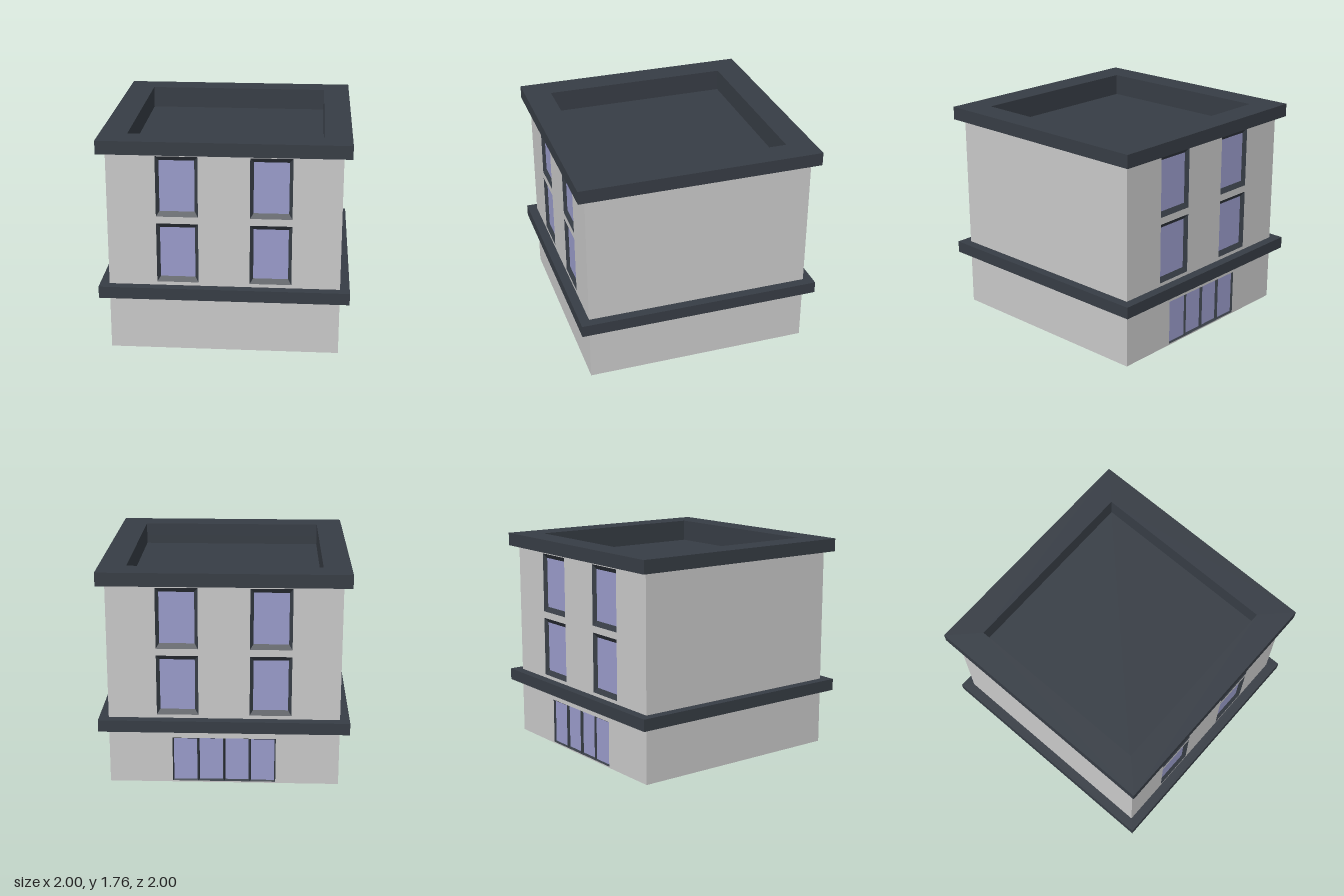
import * as THREE from 'three';

const wallMat = new THREE.MeshStandardMaterial({ color: 0xcacaca, side: THREE.DoubleSide });
wallMat.name = 'wall grey';
const trimMat = new THREE.MeshStandardMaterial({ color: 0x373d45, side: THREE.DoubleSide });
trimMat.name = 'dark slate';
const glassMat = new THREE.MeshStandardMaterial({ color: 0x9a9ccb, side: THREE.DoubleSide });
glassMat.name = 'lilac glass';

const HALF = 0.923;      // half width of the body
const WALL_TOP = 1.67;

function add(parent, name, geometry, material, x = 0, y = 0, z = 0) {
  const mesh = new THREE.Mesh(geometry, material);
  mesh.name = name;
  mesh.position.set(x, y, z);
  parent.add(mesh);
  return mesh;
}

// Closed rectangle from its edges
function rect(Type, x0, y0, x1, y1) {
  return new Type([[x0, y0], [x1, y0], [x1, y1], [x0, y1]].map(([x, y]) => new THREE.Vector2(x, y)));
}

// Flat square ring lying level between two heights
function squareRing(outer, inner, y0, y1) {
  const shape = rect(THREE.Shape, -outer, -outer, outer, outer);
  shape.holes.push(rect(THREE.Path, -inner, -inner, inner, inner));
  return new THREE.ExtrudeGeometry(shape, { depth: y1 - y0, bevelEnabled: false })
    .rotateX(-Math.PI / 2).translate(0, y0, 0);
}

// Four sloping faces running from an outer rectangle back to an inner one
function slopedFrame(o, i, depth) {
  const corners = ([x0, y0, x1, y1], z) => [[x0, y0, z], [x1, y0, z], [x1, y1, z], [x0, y1, z]];
  const a = corners(o, 0), b = corners(i, -depth), pos = [];
  for (let k = 0; k < 4; k++) {
    const n = (k + 1) % 4;
    pos.push(...a[k], ...a[n], ...b[n], ...a[k], ...b[n], ...b[k]);
  }
  const g = new THREE.BufferGeometry();
  g.setAttribute('position', new THREE.Float32BufferAttribute(pos, 3));
  g.computeVertexNormals();
  return g;
}

// Glass pane set back inside a sloping frame
function addWindow(parent, name, outer, inner, depth) {
  const group = new THREE.Group();
  group.name = name;
  add(group, 'frame', slopedFrame(outer, inner, depth), trimMat);
  add(group, 'glass', new THREE.ShapeGeometry(rect(THREE.Shape, ...inner)), glassMat, 0, 0, -depth);
  parent.add(group);
}

// Wall with two rows of windows, and optionally a row of glass doors
function facade(name, hasDoors) {
  const group = new THREE.Group();
  group.name = name;
  const wall = rect(THREE.Shape, -HALF, 0, HALF, WALL_TOP);
  const cut = (r) => wall.holes.push(rect(THREE.Path, ...r));

  for (const [y0, y1, g0, g1] of [[0.585, 1.08, 0.625, 1.043], [1.137, 1.632, 1.177, 1.595]]) {
    for (const cx of [-0.37, 0.37]) {
      const outer = [cx - 0.166, y0, cx + 0.166, y1];
      cut(outer);
      addWindow(group, 'window', outer, [cx - 0.139, g0, cx + 0.139, g1], 0.025);
    }
  }

  if (hasDoors) {
    cut([-0.415, 0.01, 0.415, 0.385]);
    const w = 0.83 / 4;
    for (let k = 0; k < 4; k++) {
      const x = -0.415 + k * w;
      addWindow(group, 'doorPanel', [x, 0.01, x + w, 0.385],
        [x + 0.01, 0.02, x + w - 0.01, 0.375], k % 3 === 0 ? 0.015 : 0.022);
    }
  }
  add(group, 'wall', new THREE.ShapeGeometry(wall), wallMat);
  group.position.z = HALF;
  const pivot = new THREE.Group();
  pivot.name = name + 'Side';
  pivot.add(group);
  return pivot;
}

export function createModel() {
  const model = new THREE.Group();
  model.name = 'building';

  // Front and back with openings
  model.add(facade('front', false));
  const back = facade('back', true);
  back.rotation.y = Math.PI;
  model.add(back);

  // Plain side walls
  for (const s of [-1, 1]) {
    const side = add(model, s > 0 ? 'leftWall' : 'rightWall',
      new THREE.PlaneGeometry(HALF * 2, WALL_TOP), wallMat, s * HALF, WALL_TOP / 2, 0);
    side.rotation.y = s * Math.PI / 2;
  }

  // Ledge between the floors
  add(model, 'ledge', squareRing(1, HALF - 0.004, 0.46, 0.557), trimMat);

  // Roof rim with a sunken deck
  add(model, 'roofRim', squareRing(0.988, 0.768, 1.657, 1.765), trimMat);
  add(model, 'roofWell', squareRing(0.785, 0.768, 1.58, 1.657), trimMat);
  add(model, 'roofDeck', new THREE.BoxGeometry(1.57, 0.02, 1.57), trimMat, 0, 1.575, 0);

  return model;
}
